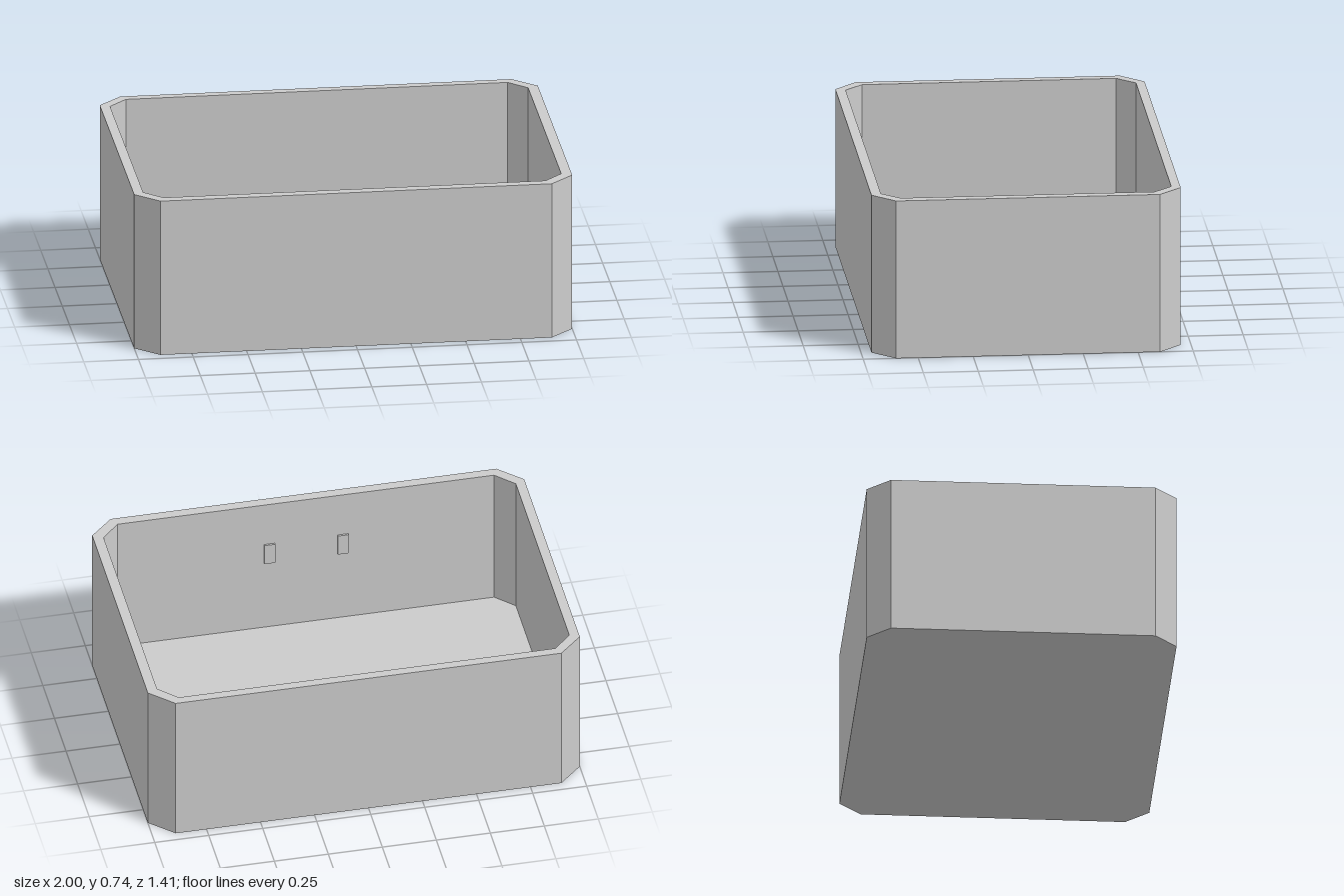
import * as THREE from 'three';

const HEIGHT = 0.74, FLOOR = 0.045;
const material = new THREE.MeshStandardMaterial({ color: 0xcccccc, flatShading: true });

// Rectangle with four chamfered corners; cx, cz are the corner cuts
function chamferedPoints(x0, x1, y0, y1, cx, cy) {
  return [
    [x0 + cx, y0], [x1 - cx, y0], [x1, y0 + cy], [x1, y1 - cy],
    [x1 - cx, y1], [x0 + cx, y1], [x0, y1 - cy], [x0, y0 + cy],
  ].map(([x, y]) => new THREE.Vector2(x, y));
}

// Extrudes a plan outline (shape y = -z) upwards from the given height
function extrudeUp(name, shape, bottom, depth) {
  const geometry = new THREE.ExtrudeGeometry(shape, { depth, bevelEnabled: false });
  geometry.rotateX(-Math.PI / 2).translate(0, bottom, 0);
  const mesh = new THREE.Mesh(geometry, material);
  mesh.name = name;
  return mesh;
}

export function createModel() {
  const model = new THREE.Group();
  model.name = 'openBox';

  const outer = chamferedPoints(-1, 1, -0.703, 0.703, 0.107, 0.103);
  const inner = chamferedPoints(-0.956, 0.953, -0.658, 0.662, 0.083, 0.083);

  // Solid floor slab
  model.add(extrudeUp('floor', new THREE.Shape(outer), 0, FLOOR));

  // Walls as a ring above the floor
  const ring = new THREE.Shape(outer);
  ring.holes.push(new THREE.Path(inner));
  model.add(extrudeUp('walls', ring, FLOOR, HEIGHT - FLOOR));

  // Two small raised tabs on the inside of the front wall
  for (const x of [-0.173, 0.167]) {
    const tab = new THREE.Mesh(new THREE.BoxGeometry(0.05, 0.105, 0.02), material);
    tab.name = 'innerTab';
    tab.position.set(x, 0.463, 0.659);
    model.add(tab);
  }
  return model;
}
